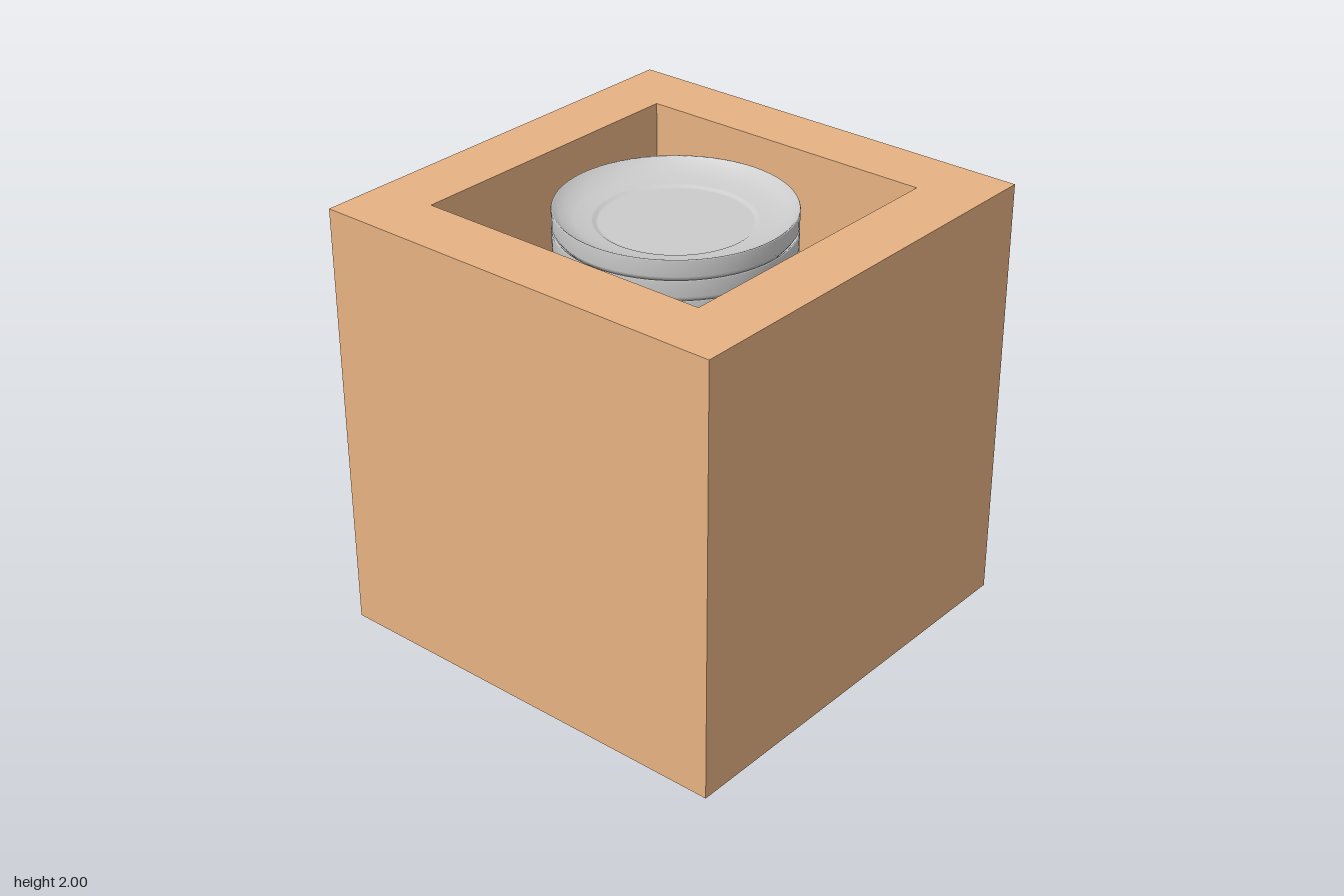
import * as THREE from 'three';

export function createModel() {
  const model = new THREE.Group();
  const wood = new THREE.MeshStandardMaterial({ color: 0xe6b282 });
  const china = new THREE.MeshStandardMaterial({ color: 0xcccccc });
  const opening = 0.708, floorY = 0.27;

  const square = (Type, h) => {
    const s = new Type();
    s.moveTo(-h, -h).lineTo(h, -h).lineTo(h, h).lineTo(-h, h).closePath();
    return s;
  };

  // Thick-walled square box, open at the top
  const outline = square(THREE.Shape, 1);
  outline.holes.push(square(THREE.Path, opening));
  const wallGeo = new THREE.ExtrudeGeometry(outline, { depth: 2, bevelEnabled: false });
  wallGeo.rotateX(-Math.PI / 2);
  const walls = new THREE.Mesh(wallGeo, wood);
  walls.name = 'boxWalls';
  model.add(walls);

  const floor = new THREE.Mesh(new THREE.BoxGeometry(opening * 2, floorY, opening * 2), wood);
  floor.position.y = floorY / 2;
  floor.name = 'boxFloor';
  model.add(floor);

  // Plate profile: underside, upright edge, rounded lip, well, flat centre
  const profile = [
    [0, 0], [0.325, 0], [0.345, 0.008], [0.42, 0.018], [0.48, 0.041],
    [0.505, 0.071], [0.514, 0.085], [0.515, 0.155], [0.513, 0.16], [0.508, 0.158],
    [0.48, 0.131], [0.42, 0.109], [0.35, 0.1], [0.341, 0.098], [0.331, 0.091],
    [0.322, 0.09], [0, 0.09],
  ].map(([r, y]) => new THREE.Vector2(r, y));
  const plateGeo = new THREE.LatheGeometry(profile, 64);

  // Nested stack of plates rising from the floor to just below the opening
  const stack = new THREE.Group();
  stack.name = 'plateStack';
  for (let i = 0; i < 18; i++) {
    const plate = new THREE.Mesh(plateGeo, china);
    plate.name = `plate${i + 1}`;
    plate.position.y = floorY + i * 0.09;
    stack.add(plate);
  }
  model.add(stack);
  return model;
}
